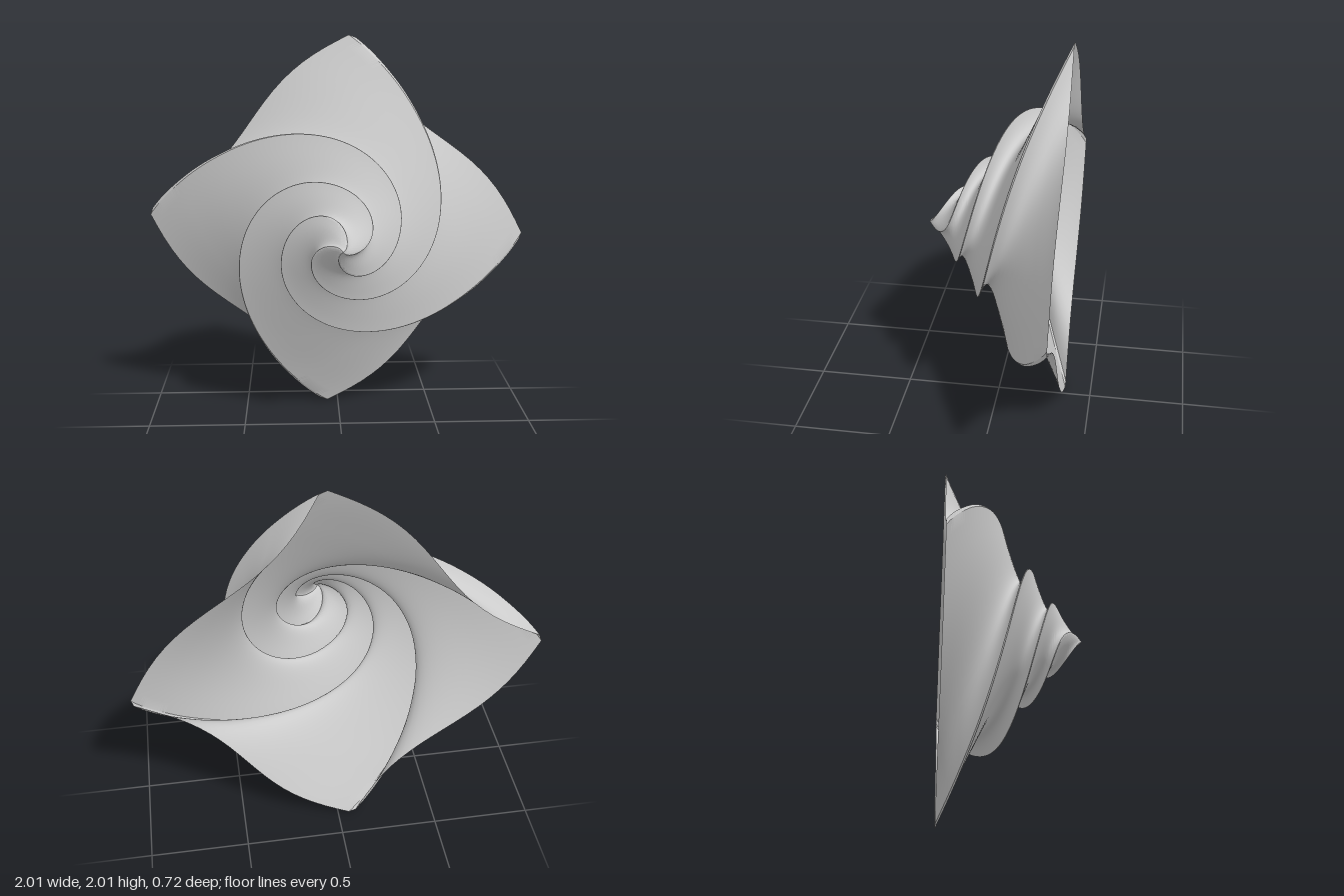
import * as THREE from 'three';
import { toCreasedNormals } from 'three/addons/utils/BufferGeometryUtils.js';

const SIDES = 4, STEPS = 20, RINGS = 200;

// Ridge path seen from the front: radius and angle (degrees), apex to rim
const RIDGE = [
  [0, -150], [0.054, -112], [0.167, -64], [0.316, 18],
  [0.557, 111], [0.706, 142.5], [0.85, 161], [1, 175.4],
];

// One pinwheel cross-section of unit radius: a square with S-curved edges
// and slightly clipped corners
function makeSection() {
  const points = [];
  for (let s = 0; s < SIDES; s++) {
    const a = s * Math.PI / 2, b = a + Math.PI / 2, mid = a + Math.PI / 4;
    const from = new THREE.Vector2(Math.cos(a), Math.sin(a)).multiplyScalar(1.018);
    const to = new THREE.Vector2(Math.cos(b), Math.sin(b)).multiplyScalar(1.018);
    for (let i = 0; i <= STEPS; i++) {
      const t = 0.018 + 0.964 * i / STEPS;
      const bulge = 0.058 * Math.sin(2 * Math.PI * t);
      const p = from.clone().lerp(to, t);
      p.x += bulge * Math.cos(mid);
      p.y += bulge * Math.sin(mid);
      points.push(p);
    }
  }
  return points;
}

// Loft the section from the apex to the open rim, growing and twisting it
function makeShell() {
  const section = makeSection(), n = section.length;
  const path = new THREE.CatmullRomCurve3(
    RIDGE.map(([r, deg]) => new THREE.Vector3(r, THREE.MathUtils.degToRad(deg), 0)));
  const positions = [], index = [];
  for (let k = 0; k <= RINGS; k++) {
    const { x, y: angle } = path.getPoint(k / RINGS);
    const r = Math.max(x, 0.0005);
    const z = 0.36 - 0.8 * r + 0.08 * r * r;
    const c = Math.cos(angle) * r, s = Math.sin(angle) * r;
    for (const p of section) positions.push(p.x * c - p.y * s, 1 + p.x * s + p.y * c, z);
    if (k === RINGS) continue;
    for (let j = 0; j < n; j++) {
      const a = k * n + j, b = k * n + (j + 1) % n;
      index.push(a, a + n, b, b, a + n, b + n);
    }
  }
  const geometry = new THREE.BufferGeometry();
  geometry.setAttribute('position', new THREE.Float32BufferAttribute(positions, 3));
  geometry.setIndex(index);
  return toCreasedNormals(geometry, 0.6);
}

export function createModel() {
  const model = new THREE.Group();
  model.name = 'twistedSpiral';
  const shell = new THREE.Mesh(makeShell(),
    new THREE.MeshStandardMaterial({ color: 0xcccccc, side: THREE.DoubleSide }));
  shell.name = 'spiralShell';
  model.add(shell);
  return model;
}
